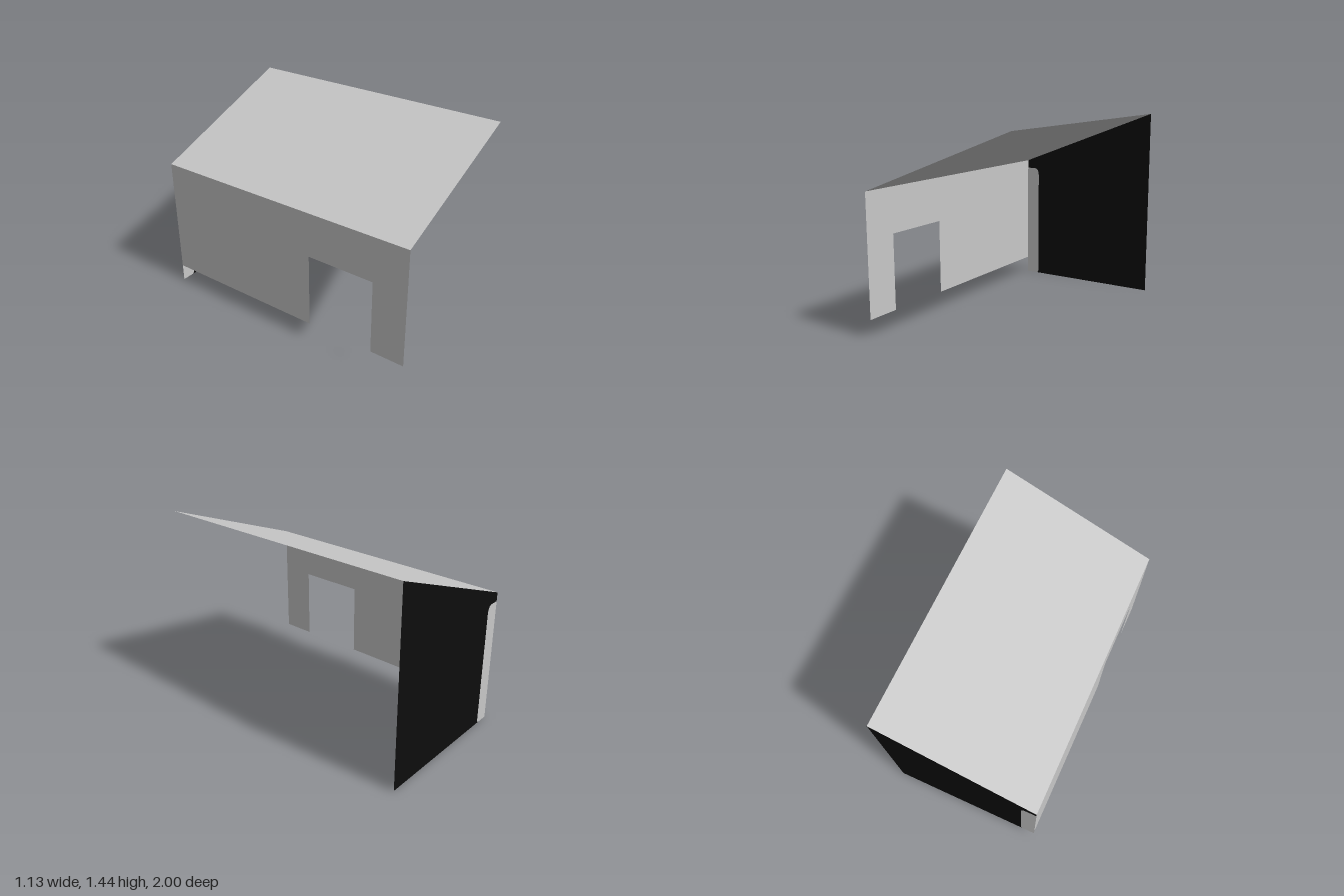
import * as THREE from 'three';

const HALF_W = 0.563, HALF_D = 1, LOW = 1, HIGH = 1.435;

const lightGrey = new THREE.MeshStandardMaterial({ color: 0xc8c8c8, side: THREE.DoubleSide });
lightGrey.name = 'light grey';
const black = new THREE.MeshStandardMaterial({ color: 0x0d0d0d, side: THREE.DoubleSide });
black.name = 'black';

function sheet(name, shape, material) {
  const mesh = new THREE.Mesh(new THREE.ShapeGeometry(shape, 8), material);
  mesh.name = name;
  return mesh;
}

const polygon = (points) => new THREE.Shape(points.map(([x, y]) => new THREE.Vector2(x, y)));

// Inner edge of the pale strip, from bottom to top, with rounded corners
function traceStripEdge(shape) {
  const edge = -0.455, top = 0.935, r = 0.045, foot = 0.025;
  shape.lineTo(edge - foot, 0);
  shape.quadraticCurveTo(edge, 0, edge, foot);
  shape.lineTo(edge, top - r * 1.4);
  shape.quadraticCurveTo(edge, top, edge - r, top);
  shape.lineTo(-HALF_W, top);
}

export function createModel() {
  const model = new THREE.Group();
  model.name = 'leanToShelter';

  // Sloping roof sheet
  const run = 2 * HALF_W, rise = HIGH - LOW;
  const roofGeometry = new THREE.PlaneGeometry(Math.hypot(run, rise), 2 * HALF_D);
  roofGeometry.rotateX(-Math.PI / 2);
  roofGeometry.rotateZ(Math.atan2(rise, run));
  const roof = new THREE.Mesh(roofGeometry, lightGrey);
  roof.name = 'roof';
  roof.position.y = (LOW + HIGH) / 2;
  model.add(roof);

  // Low side wall with a doorway; shape x runs along the model's z
  const wall = sheet('sideWall', polygon([
    [-HALF_D, 0.13], [0.25, 0.13], [0.25, 0.675], [0.75, 0.675],
    [0.75, 0.13], [HALF_D, 0.13], [HALF_D, LOW], [-HALF_D, LOW],
  ]), lightGrey);
  wall.rotation.y = -Math.PI / 2;
  wall.position.x = -HALF_W;
  model.add(wall);

  // Back wall: a pale strip and the black panel that fits around it
  const stripShape = new THREE.Shape();
  stripShape.moveTo(-HALF_W, 0);
  traceStripEdge(stripShape);
  stripShape.closePath();

  const panelShape = new THREE.Shape();
  panelShape.moveTo(HALF_W, 0);
  traceStripEdge(panelShape);
  panelShape.lineTo(-HALF_W, LOW);
  panelShape.lineTo(HALF_W, HIGH);
  panelShape.closePath();

  const backWall = new THREE.Group();
  backWall.name = 'backWall';
  backWall.position.z = -HALF_D;
  backWall.add(sheet('backStrip', stripShape, lightGrey), sheet('backPanel', panelShape, black));
  model.add(backWall);

  return model;
}
